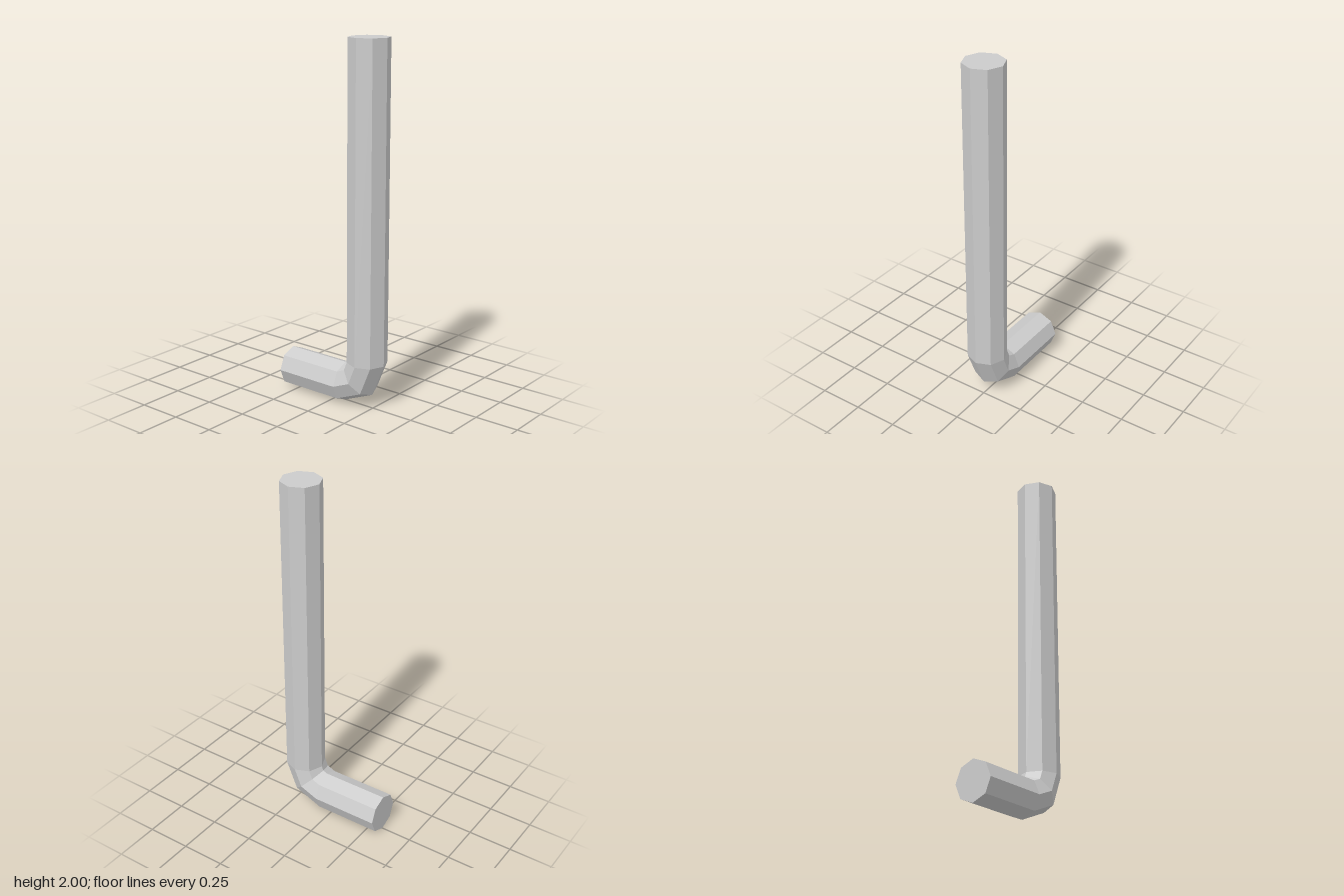
import * as THREE from 'three';

const SIDES = 8, RADIUS = 0.111;
const BEND = 0.147, BEND_Y = 0.263, BEND_Z = 0.062; // bend radius and pivot

// One octagonal section; t is the bend angle, dy/dz slide it along a straight arm.
function ring(t, dy = 0, dz = 0) {
  return Array.from({ length: SIDES }, (_, j) => {
    const a = (j / SIDES) * Math.PI * 2;
    const d = BEND + RADIUS * Math.cos(a);
    return new THREE.Vector3(
      RADIUS * Math.sin(a),
      BEND_Y + dy - d * Math.sin(t),
      BEND_Z + dz + d * Math.cos(t)
    );
  });
}

function bentBarGeometry() {
  const q = Math.PI / 2;
  const rings = [
    ring(0, 2 - BEND_Y), // top of long arm
    ring(0), ring(q / 2), ring(q), // bend
    ring(q, 0, -0.32 - BEND_Z), // end of short arm
  ];
  const points = [];
  for (let j = 0; j < SIDES; j++) {
    const k = (j + 1) % SIDES;
    for (let i = 0; i < rings.length - 1; i++) {
      const a = rings[i], b = rings[i + 1];
      points.push(a[j], b[j], a[k], a[k], b[j], b[k]);
    }
    // flat end caps as fans
    if (j > 0 && j < SIDES - 1) {
      const first = rings[0], last = rings[rings.length - 1];
      points.push(first[0], first[j], first[k], last[0], last[k], last[j]);
    }
  }
  const geometry = new THREE.BufferGeometry().setFromPoints(points);
  geometry.computeVertexNormals();
  return geometry;
}

export function createModel() {
  const group = new THREE.Group();
  group.name = 'hexKey';
  const material = new THREE.MeshStandardMaterial({ color: 0xcccccc, flatShading: true });
  const bar = new THREE.Mesh(bentBarGeometry(), material);
  bar.name = 'bentBar';
  group.add(bar);
  return group;
}
